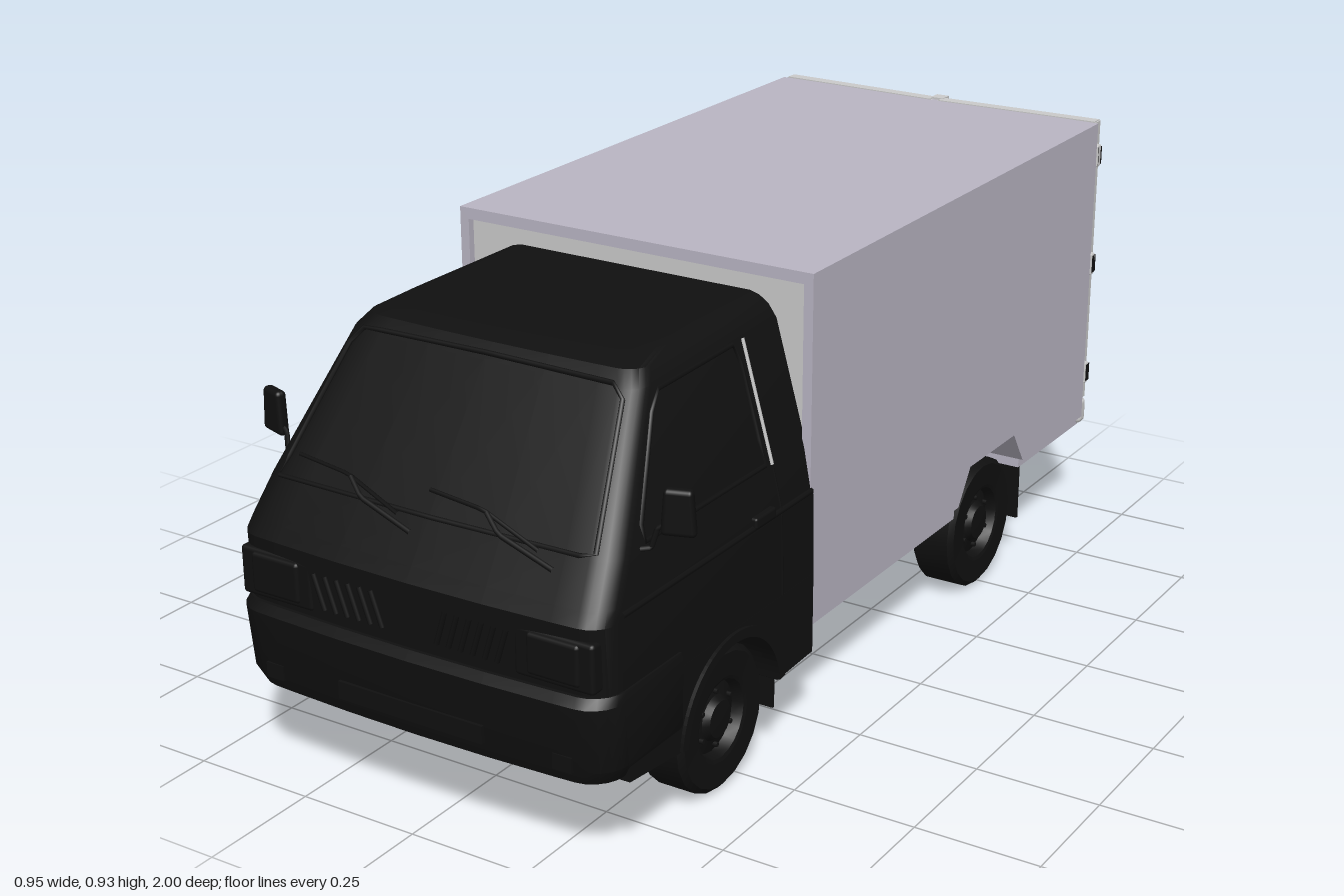
import * as THREE from 'three';
import { toCreasedNormals } from 'three/addons/utils/BufferGeometryUtils.js';
import { RoundedBoxGeometry } from 'three/addons/geometries/RoundedBoxGeometry.js';

const mat = (color) => new THREE.MeshStandardMaterial({ color });
const black = mat(0x101010), grey = mat(0xcccccc), lavender = mat(0xbab6c4);
const V = (x, y, z) => new THREE.Vector3(x, y, z);

export function createModel() {
  const model = new THREE.Group();
  model.name = 'boxTruck';

  const add = (name, geo, material, x = 0, y = 0, z = 0) => {
    const m = new THREE.Mesh(geo, material);
    m.name = name;
    m.position.set(x, y, z);
    model.add(m);
    return m;
  };
  // Box given by its limits on each axis
  const block = (name, material, x0, x1, y0, y1, z0, z1) =>
    add(name, new THREE.BoxGeometry(x1 - x0, y1 - y0, z1 - z0), material, (x0 + x1) / 2, (y0 + y1) / 2, (z0 + z1) / 2);
  // Pair of blocks mirrored across x = 0
  const pair = (name, material, x0, x1, y0, y1, z0, z1) => {
    block(name, material, x0, x1, y0, y1, z0, z1);
    block(name, material, -x1, -x0, y0, y1, z0, z1);
  };
  const tube = (name, pts, r, closed = false, material = black) => {
    const path = new THREE.CurvePath();
    const n = closed ? pts.length : pts.length - 1;
    for (let i = 0; i < n; i++) path.add(new THREE.LineCurve3(pts[i], pts[(i + 1) % pts.length]));
    return add(name, new THREE.TubeGeometry(path, n * 6, r, 6, closed), material);
  };
  // Side profile in (z, y) extruded from x0 to x1
  const sideExtrude = (name, shape, x0, x1, material) => {
    const g = new THREE.ExtrudeGeometry(shape, { depth: x1 - x0, bevelEnabled: false, curveSegments: 16 });
    g.rotateY(-Math.PI / 2).translate(x1, 0, 0);
    return add(name, g, material);
  };
  const poly = (pts) => new THREE.Shape(pts.map(([a, b]) => new THREE.Vector2(a, b)));

  // Horizontal sections [y, halfWidth, front z, back z, corner radius, bow] joined into a closed skin
  const loft = (name, levels, material) => {
    const pos = [], index = [];
    let n = 0;
    for (const [y, w, zf, zb, r, bow] of levels) {
      const half = [[0, zf], [w * 0.4, zf], [w * 0.75, zf]];
      for (let i = 0; i <= 5; i++) {
        const a = (i / 5) * Math.PI / 2;
        half.push([w - r + r * Math.sin(a), zf - r + r * Math.cos(a)]);
      }
      half.push([w, zb]);
      const ring = [...half, ...half.slice(1).reverse().map(([x, z]) => [-x, z])];
      n = ring.length;
      for (const [x, z] of ring) pos.push(x, y, z === zb ? z : z - bow * (x / w) ** 2);
    }
    for (let k = 0; k < levels.length - 1; k++) for (let i = 0; i < n; i++) {
      const a = k * n + i, b = k * n + (i + 1) % n;
      index.push(a, b, b + n, a, b + n, a + n);
    }
    const top = levels.length - 1;
    for (const [k, up] of [[0, false], [top, true]]) {
      const c = pos.length / 3, L = levels[k];
      pos.push(0, L[0], (L[2] + L[3]) / 2);
      for (let i = 0; i < n; i++) {
        const a = k * n + i, b = k * n + (i + 1) % n;
        index.push(c, up ? a : b, up ? b : a);
      }
    }
    const g = new THREE.BufferGeometry();
    g.setAttribute('position', new THREE.Float32BufferAttribute(pos, 3));
    g.setIndex(index);
    return add(name, toCreasedNormals(g, 0.5), material);
  };

  // Cab shell from waist to roof
  loft('cabBody', [
    [0.31, 0.405, 0.975, 0.275, 0.05, 0.015], [0.49, 0.402, 0.985, 0.275, 0.05, 0.015],
    [0.515, 0.398, 0.967, 0.275, 0.05, 0.012], [0.585, 0.385, 0.916, 0.275, 0.05, 0.008],
    [0.825, 0.318, 0.742, 0.275, 0.04, 0.008], [0.85, 0.3, 0.715, 0.275, 0.04, 0.008],
    [0.863, 0.28, 0.62, 0.275, 0.04, 0.005], [0.868, 0.26, 0.5, 0.275, 0.04, 0]], black);

  // Lower cab sides with wheel arches, arch lips and cab floor
  const lower = new THREE.Shape();
  lower.moveTo(0.275, 0.165).lineTo(0.405, 0.16);
  lower.absarc(0.565, 0.148, 0.16, Math.PI - 0.08, 0.08, true);
  lower.lineTo(0.9, 0.18).lineTo(0.9, 0.33).lineTo(0.275, 0.33).closePath();
  const lip = new THREE.Shape();
  lip.absarc(0.565, 0.148, 0.178, 0.1, Math.PI - 0.1, false);
  lip.absarc(0.565, 0.148, 0.158, Math.PI - 0.1, 0.1, true);
  for (const s of [-1, 1]) {
    sideExtrude('cabLowerSide', lower, s > 0 ? 0.28 : -0.405, s > 0 ? 0.405 : -0.28, black);
    sideExtrude('wheelArchLip', lip, s > 0 ? 0.38 : -0.412, s > 0 ? 0.412 : -0.38, black);
  }
  block('cabFloor', black, -0.285, 0.285, 0.165, 0.33, 0.275, 0.9);

  // Front bumper with fog lamps and plate panel
  loft('frontBumper', [
    [0.19, 0.395, 0.975, 0.74, 0.06, 0.015], [0.22, 0.41, 0.985, 0.74, 0.06, 0.015],
    [0.345, 0.412, 0.997, 0.74, 0.06, 0.015], [0.362, 0.408, 0.985, 0.74, 0.06, 0.015]], black);
  block('platePanel', black, -0.16, 0.16, 0.225, 0.26, 0.96, 0.993);
  pair('fogLamp', black, 0.3, 0.34, 0.215, 0.245, 0.95, 0.981);

  // Headlights and slanted grille slats
  for (const s of [-1, 1]) {
    add('headlightSurround', new RoundedBoxGeometry(0.165, 0.095, 0.04, 2, 0.008), black, s * 0.305, 0.42, 0.958);
    add('headlight', new RoundedBoxGeometry(0.11, 0.08, 0.04, 2, 0.008), black, s * 0.305, 0.422, 0.963);
    for (let i = 0; i < 6; i++) {
      const x = s * (0.06 + i * 0.026);
      tube('grilleSlat', [V(x, 0.388, 0.982), V(x + s * 0.022, 0.455, 0.983)], 0.005);
    }
  }

  // Windscreen trim and wipers, lying on the sloping screen
  const onScreen = (x, y, lift = 0) => V(x, y, 0.916 - (y - 0.585) * 0.725 - 0.06 * x * x + lift);
  tube('windscreenTrim', [[-0.345, 0.588], [0, 0.588], [0.345, 0.588], [0.295, 0.815], [0.275, 0.832],
    [0, 0.836], [-0.275, 0.832], [-0.295, 0.815]].map(([x, y]) => onScreen(x, y)), 0.005, true);
  for (const x of [-0.02, 0.28]) {
    tube('wiperArm', [onScreen(x, 0.565, 0.012), onScreen(x - 0.12, 0.598, 0.022), onScreen(x - 0.16, 0.62, 0.015)], 0.005);
    tube('wiperBlade', [onScreen(x - 0.29, 0.63, 0.01), onScreen(x - 0.17, 0.622, 0.012), onScreen(x - 0.04, 0.585, 0.01)], 0.004);
  }

  // Side windows, door seams, handles, mirrors
  const onSide = (s, z, y) => V(s * (y < 0.585 ? 0.402 - (y - 0.49) * 0.18 : 0.385 - (y - 0.585) * 0.279), y, z);
  for (const s of [-1, 1]) {
    tube('sideWindowTrim', [[0.42, 0.595], [0.83, 0.595], [0.69, 0.815], [0.42, 0.82]].map(([z, y]) => onSide(s, z, y)), 0.005, true);
    tube('doorPillarTrim', [onSide(s, 0.397, 0.59), onSide(s, 0.397, 0.822)], 0.004, false, grey);
    tube('doorSeam', [onSide(s, 0.397, 0.59), onSide(s, 0.39, 0.5), V(s * 0.404, 0.33, 0.39)], 0.003);
    tube('beltLine', [onSide(s, 0.28, 0.5), onSide(s, 0.91, 0.5)], 0.006);
    add('doorHandle', new RoundedBoxGeometry(0.016, 0.022, 0.07, 2, 0.005), black, s * 0.401, 0.51, 0.455);
    tube('mirrorArm', [V(s * 0.375, 0.585, 0.83), V(s * 0.4, 0.59, 0.82), V(s * 0.408, 0.625, 0.812), V(s * 0.43, 0.64, 0.805)], 0.005);
    const g = new RoundedBoxGeometry(0.064, 0.086, 0.022, 3, 0.009);
    const p = g.attributes.position;
    for (let i = 0; i < p.count; i++) p.setX(i, p.getX(i) * (0.9 - p.getY(i) * 2.4));
    add('mirror', g, black, s * 0.443, 0.658, 0.8).rotation.y = s * 0.32;
  }

  // Cargo box: middle, sides notched over the rear wheels, sills and front frame
  block('cargoMiddle', lavender, -0.28, 0.28, 0.21, 0.925, -0.965, 0.265);
  const side = poly([[0.265, 0.235], [0.265, 0.925], [-0.965, 0.925], [-0.965, 0.235], [-0.655, 0.235],
    [-0.605, 0.31], [-0.395, 0.31], [-0.345, 0.235]]);
  for (const s of [-1, 1]) sideExtrude('cargoSide', side, s > 0 ? 0.28 : -0.4, s > 0 ? 0.4 : -0.28, lavender);
  pair('cargoSill', lavender, 0.27, 0.39, 0.207, 0.235, -0.345, 0.275);
  pair('cargoSill', lavender, 0.27, 0.39, 0.215, 0.235, -0.965, -0.655);
  const rim = poly([[-0.4, 0.235], [0.4, 0.235], [0.4, 0.925], [-0.4, 0.925]]);
  rim.holes.push(poly([[-0.38, 0.25], [-0.38, 0.902], [0.38, 0.902], [0.38, 0.25]]));
  add('cargoFrontFrame', new THREE.ExtrudeGeometry(rim, { depth: 0.02, bevelEnabled: false }), lavender, 0, 0, 0.263);
  block('cargoFrontWall', grey, -0.381, 0.381, 0.24, 0.903, 0.255, 0.268);

  // Rear doors meeting at a slight peak, with frames, hinges and centre strip
  for (const s of [-1, 1]) {
    const door = new THREE.Group();
    door.name = 'rearDoor';
    door.position.set(s * 0.2, 0.6, -0.975);
    door.rotation.y = s * 0.03;
    const part = (name, w, h, d, x, y, z) => {
      const m = new THREE.Mesh(new THREE.BoxGeometry(w, h, d), grey);
      m.name = name;
      m.position.set(x, y, z);
      door.add(m);
    };
    part('doorPanel', 0.38, 0.64, 0.02, 0, 0, 0);
    for (const e of [-1, 1]) {
      part('doorFrameRail', 0.38, 0.014, 0.026, 0, e * 0.32, 0);
      part('doorFrameStile', 0.014, 0.65, 0.026, e * 0.186, 0, 0);
    }
    model.add(door);
    for (const y of [0.34, 0.6, 0.85]) {
      add('hinge', new RoundedBoxGeometry(0.03, 0.05, 0.02, 1, 0.004), grey, s * 0.388, y, -0.974);
      block('hingePin', black, s * 0.399 - 0.004, s * 0.399 + 0.004, y - 0.02, y + 0.02, -0.986, -0.968);
    }
  }
  block('doorCentreStrip', grey, -0.015, 0.015, 0.275, 0.928, -1, -0.97);

  // Rear bumper bar with lamps
  add('rearBumper', new RoundedBoxGeometry(0.8, 0.06, 0.035, 2, 0.012), grey, 0, 0.247, -0.972);
  pair('rearLamp', grey, 0.17, 0.26, 0.238, 0.262, -0.993, -0.98);

  // Chassis: deck, rails, cross members, springs, axles, exhaust
  block('chassisDeck', black, -0.3, 0.3, 0.175, 0.209, -0.36, 0.28);
  pair('sideRail', black, 0.275, 0.3, 0.155, 0.207, -0.36, 0.28);
  pair('frameRail', black, 0.16, 0.2, 0.16, 0.212, -0.96, 0.85);
  for (const z of [0.25, -0.05, -0.35, -0.7, -0.92]) block('crossMember', black, -0.18, 0.18, 0.165, 0.205, z - 0.02, z + 0.02);
  for (const s of [-1, 1])
    tube('leafSpring', [V(s * 0.23, 0.19, -0.22), V(s * 0.23, 0.145, -0.42), V(s * 0.23, 0.145, -0.56), V(s * 0.23, 0.185, -0.78)], 0.014);
  for (const z of [0.565, -0.49]) {
    const axle = add('axle', new THREE.CylinderGeometry(0.014, 0.014, 0.6, 12), black, 0, 0.145, z);
    axle.rotation.z = Math.PI / 2;
  }
  add('differential', new THREE.SphereGeometry(0.06, 16, 10), black, 0, 0.155, -0.49).scale.set(1.3, 0.75, 0.9);
  tube('driveShaft', [V(0, 0.16, 0.3), V(0, 0.155, -0.47)], 0.015);
  tube('exhaustPipe', [V(0.1, 0.165, 0.2), V(0.1, 0.165, -0.45), V(0.11, 0.185, -0.58), V(0.11, 0.18, -0.94)], 0.013);

  // Wheels: tyre and dished rim turned as one profile each, hub and bolts
  const lathe = (pts) => toCreasedNormals(
    new THREE.LatheGeometry(pts.map(([r, y]) => new THREE.Vector2(r, y)), 20).rotateZ(-Math.PI / 2), 0.6);
  const tyre = lathe([[0.085, -0.047], [0.132, -0.048], [0.143, -0.038], [0.143, 0.038], [0.132, 0.048], [0.085, 0.047]]);
  const disc = lathe([[0, -0.03], [0.085, -0.047], [0.088, 0.047], [0.078, 0.044], [0.072, 0.022], [0.045, 0.03], [0.036, 0.042], [0, 0.044]]);
  const bolt = new THREE.CylinderGeometry(0.005, 0.005, 0.012, 6).rotateZ(Math.PI / 2);
  for (const s of [-1, 1]) for (const z of [0.565, -0.49]) {
    const wheel = new THREE.Group();
    wheel.name = 'wheel';
    wheel.position.set(s * 0.337, 0.143, z);
    wheel.rotation.y = s > 0 ? 0 : Math.PI;
    const put = (name, g, x = 0, y = 0, zz = 0) => {
      const m = new THREE.Mesh(g, black);
      m.name = name;
      m.position.set(x, y, zz);
      wheel.add(m);
    };
    put('tyre', tyre);
    put('rim', disc);
    for (let i = 0; i < 6; i++) put('wheelBolt', bolt, 0.03, 0.055 * Math.cos(i * Math.PI / 3), 0.055 * Math.sin(i * Math.PI / 3));
    model.add(wheel);
    // Mud flap behind each wheel
    block('mudFlap', black, s * 0.337 - 0.052, s * 0.337 + 0.052, 0.092, 0.22, z - 0.176, z - 0.17);
  }
  return model;
}
